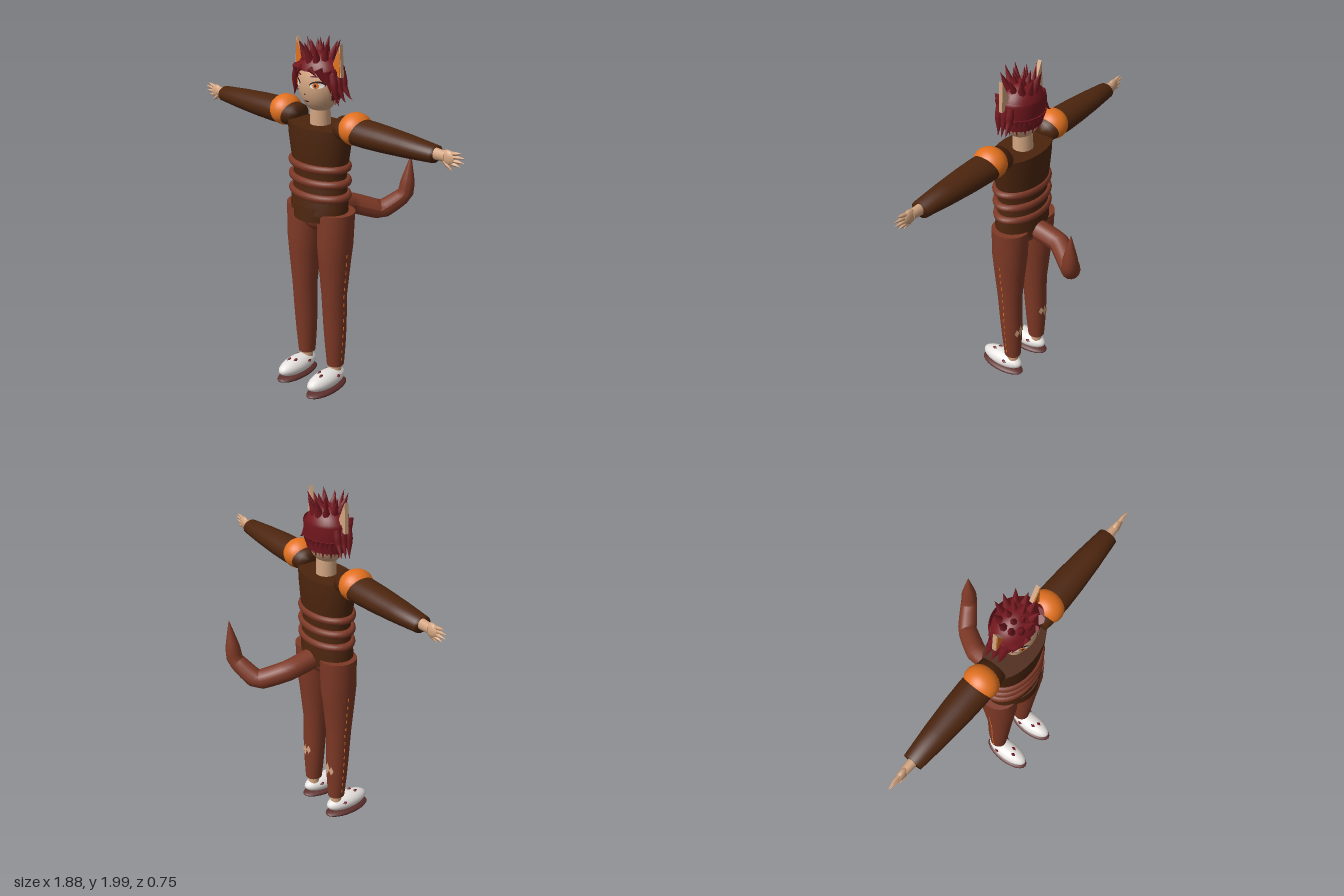
import * as THREE from 'three';

const mat = (name, color) => {
  const m = new THREE.MeshStandardMaterial({ color });
  m.name = name;
  return m;
};

export function createModel() {
  const root = new THREE.Group();
  root.name = 'character';
  const cloth = mat('dark brown cloth', 0x4c250e), trousers = mat('red brown', 0x7e3926);
  const orange = mat('orange', 0xe2711f), skin = mat('skin', 0xd3a581);
  const hair = mat('dark red', 0x74181f), white = mat('white', 0xe9e5e2);
  const soleMat = mat('sole brown', 0x5c2f2c), dark = mat('near black', 0x2a1412);
  hair.side = THREE.DoubleSide;

  const add = (name, geo, material, pos = [0, 0, 0], scale = [1, 1, 1], parent = root) => {
    const m = new THREE.Mesh(geo, material);
    m.name = name;
    m.position.set(...pos);
    m.scale.set(...scale);
    parent.add(m);
    return m;
  };
  const ball = (name, material, pos, radii) =>
    add(name, new THREE.SphereGeometry(1, 24, 16), material, pos, radii);

  // Elliptical loft; sections run from top to bottom as [y, cx, cz, rx, rz]
  const loft = (sections, open = false, start = 0, length = Math.PI * 2) => {
    const n = sections.length - 1;
    const g = new THREE.CylinderGeometry(1, 1, 1, 28, n, open, start, length);
    const p = g.attributes.position;
    for (let i = 0; i < p.count; i++) {
      const [y, cx, cz, rx, rz] = sections[Math.round((0.5 - p.getY(i)) * n)];
      p.setXYZ(i, cx + p.getX(i) * rx, y, cz + p.getZ(i) * rz);
    }
    g.computeVertexNormals();
    return g;
  };

  // Tube whose radius follows a list of values along its length
  const taperTube = (points, radii, segments = 16, sides = 12) => {
    const curve = new THREE.CatmullRomCurve3(points.map(a => new THREE.Vector3(...a)), false, 'catmullrom', 0.15);
    const g = new THREE.TubeGeometry(curve, segments, 1, sides);
    const p = g.attributes.position, v = new THREE.Vector3();
    for (let i = 0; i < p.count; i++) {
      const u = Math.floor(i / (sides + 1)) / segments;
      const f = u * (radii.length - 1), k = Math.min(Math.floor(f), radii.length - 2);
      const r = THREE.MathUtils.lerp(radii[k], radii[k + 1], f - k);
      const c = curve.getPointAt(u);
      v.fromBufferAttribute(p, i).sub(c).multiplyScalar(r).add(c);
      p.setXYZ(i, v.x, v.y, v.z);
    }
    g.computeVertexNormals();
    return g;
  };

  // Pointed lock from a base to a tip
  const spike = (name, material, from, to, r, sides = 7) => {
    const a = new THREE.Vector3(...from), b = new THREE.Vector3(...to);
    const d = b.clone().sub(a);
    const m = add(name, new THREE.ConeGeometry(r, d.length(), sides), material);
    m.position.copy(a).add(b).multiplyScalar(0.5);
    m.quaternion.setFromUnitVectors(new THREE.Vector3(0, 1, 0), d.normalize());
    return m;
  };

  // Torso, hem and waist bands
  add('torso', loft([
    [1.55, 0, 0.14, 0.21, 0.122], [1.48, 0, 0.14, 0.2, 0.124], [1.39, 0, 0.14, 0.185, 0.12],
    [1.3, 0, 0.14, 0.165, 0.113], [1.22, 0, 0.14, 0.167, 0.114], [1.14, 0, 0.145, 0.18, 0.122],
    [1.08, 0, 0.147, 0.182, 0.128]]), cloth);
  add('hem', loft([[1.12, 0, 0.15, 0.15, 0.128], [1.04, 0, 0.15, 0.14, 0.134]]), cloth);
  for (const y of [1.338, 1.257, 1.177]) {
    const band = add('waistBand', new THREE.TorusGeometry(1, 0.12, 10, 36), trousers, [0, y, 0.142], [0.178, 0.118, 0.18]);
    band.rotation.x = Math.PI / 2;
  }
  ball('seat', trousers, [0, 1.04, 0.14], [0.1, 0.09, 0.1]);
  add('neck', new THREE.CylinderGeometry(0.053, 0.056, 0.14, 20), skin, [0, 1.6, 0.135]);

  // Bent, pointed tail
  add('tail', taperTube(
    [[0, 1.065, 0.08], [0, 1.03, -0.11], [0.09, 0.975, -0.255], [0.2, 1.08, -0.33], [0.22, 1.31, -0.347]],
    [0.06, 0.058, 0.056, 0.05, 0.04, 0.001], 24, 14), trousers);

  // Head and face details laid on its surface
  const HY = 1.765, HZ = 0.14, RX = 0.118, RY = 0.15, RZ = 0.105;
  ball('head', skin, [0, HY, HZ], [RX, RY, RZ]);
  const faceDot = (name, material, x, y, w, h, lift, tilt = 0) => {
    const g = new THREE.CircleGeometry(1, 20).scale(w, h, 1).rotateZ(tilt).translate(x, y, 0);
    const p = g.attributes.position;
    for (let i = 0; i < p.count; i++) {
      const q = 1 - (p.getX(i) / RX) ** 2 - ((p.getY(i) - HY) / RY) ** 2;
      p.setZ(i, HZ + RZ * Math.sqrt(Math.max(q, 0)) + lift);
    }
    g.computeVertexNormals();
    add(name, g, material);
  };
  for (const s of [-1, 1]) {
    faceDot('eyeLine', dark, s * 0.069, 1.782, 0.036, 0.017, 0.003, s * 0.1);
    faceDot('eyeWhite', white, s * 0.068, 1.776, 0.032, 0.015, 0.005, s * 0.1);
    faceDot('iris', orange, s * 0.066, 1.777, 0.015, 0.015, 0.007);
    faceDot('pupil', dark, s * 0.066, 1.777, 0.005, 0.008, 0.009);
    faceDot('eyebrow', hair, s * 0.062, 1.822, 0.032, 0.005, 0.004, s * 0.12);
  }
  faceDot('nose', soleMat, 0, 1.725, 0.006, 0.004, 0.004);
  faceDot('mouth', dark, 0, 1.686, 0.016, 0.004, 0.004);

  // Hair cap, back hair and its pointed hem
  add('hairCap', new THREE.SphereGeometry(1, 28, 12, 0, Math.PI * 2, 0, 1.2), hair, [0, 1.79, 0.138], [0.143, 0.145, 0.112]);
  add('backHair', loft([[1.86, 0, 0.14, 0.132, 0.116], [1.845, 0, 0.14, 0.142, 0.12],
    [1.76, 0, 0.14, 0.136, 0.113], [1.7, 0, 0.14, 0.122, 0.102]], true, 1.25, Math.PI * 2 - 2.5), hair);
  for (let i = 0; i < 17; i++) {
    const a = 1.45 + (i / 16) * (Math.PI * 2 - 2.9), x = Math.sin(a), z = Math.cos(a);
    spike('backLock', hair, [0.125 * x, 1.77, 0.14 + 0.103 * z],
      [0.108 * x, i % 2 ? 1.665 : 1.68, 0.14 + 0.09 * z], 0.02, 6);
  }
  // Crown of spikes
  for (let i = 0; i < 11; i++) {
    const a = (i / 11) * Math.PI * 2, x = Math.sin(a), z = Math.cos(a);
    spike('crownSpike', hair, [0.068 * x, 1.885, 0.138 + 0.065 * z],
      [0.108 * x, i % 2 ? 1.975 : 1.992, 0.138 + 0.105 * z], 0.026);
  }
  for (let i = 0; i < 5; i++) {
    const a = (i / 5) * Math.PI * 2;
    spike('topSpike', hair, [0.03 * Math.sin(a), 1.91, 0.14 + 0.03 * Math.cos(a)],
      [0.05 * Math.sin(a), 1.99, 0.14 + 0.05 * Math.cos(a)], 0.022);
  }

  for (const s of [-1, 1]) {
    // Fringe and flicked side locks
    spike('fringe', hair, [s * 0.03, 1.86, 0.236], [s * 0.075, 1.822, 0.232], 0.016);
    spike('fringe', hair, [s * 0.075, 1.86, 0.222], [s * 0.112, 1.775, 0.205], 0.024);
    spike('fringe', hair, [s * 0.105, 1.85, 0.195], [s * 0.125, 1.73, 0.18], 0.026);
    for (let k = 0; k < 3; k++) {
      const z = 0.175 - k * 0.035;
      add('sideLock', taperTube([[s * 0.125, 1.84, z], [s * 0.143, 1.765, z], [s * (0.15 + k * 0.012), 1.715, z - 0.005],
        [s * (0.162 + k * 0.014), 1.68 + k * 0.012, z - 0.01]], [0.02, 0.021, 0.012, 0.001], 10, 8), hair);
    }

    // Ears: tan shell with an orange inside
    const ear = new THREE.Shape([[0.085, 1.83], [0.165, 1.82], [0.156, 1.985]].map(([x, y]) => new THREE.Vector2(s * x, y)));
    add('ear', new THREE.ExtrudeGeometry(ear, { depth: 0.022, bevelEnabled: false }), skin, [0, 0, 0.13]);
    const inner = new THREE.Shape([[0.093, 1.835], [0.159, 1.826], [0.152, 1.965]].map(([x, y]) => new THREE.Vector2(s * x, y)));
    add('earInside', new THREE.ExtrudeGeometry(inner, { depth: 0.004, bevelEnabled: false }), orange, [0, 0, 0.151]);

    // Sleeves and shoulder puffs
    const profile = [[0, 0.16], [0.06, 0.16], [0.069, 0.25], [0.07, 0.33], [0.066, 0.45], [0.057, 0.6], [0.043, 0.77], [0, 0.772]];
    const sleeve = add('sleeve', new THREE.LatheGeometry(profile.map(a => new THREE.Vector2(...a)), 28),
      cloth, [0, 1.563, 0.14], [1, 1, 1.22]);
    sleeve.rotation.z = -s * Math.PI / 2;
    ball('shoulderPuff', orange, [s * 0.257, 1.574, 0.14], [0.084, 0.084, 0.094]);

    // Hands
    const wrist = add('wrist', new THREE.CylinderGeometry(0.026, 0.03, 0.07, 14), skin, [s * 0.795, 1.566, 0.14], [1, 1, 0.85]);
    wrist.rotation.z = -s * Math.PI / 2;
    ball('palm', skin, [s * 0.843, 1.564, 0.14], [0.043, 0.037, 0.019]);
    [[0.92, 1.6], [0.94, 1.58], [0.938, 1.556], [0.915, 1.533]].forEach(([x, y], i) =>
      add('finger', taperTube([[s * 0.86, 1.586 - i * 0.015, 0.14], [s * 0.89, (1.586 - i * 0.015 + y) / 2, 0.14], [s * x, y, 0.14]],
        [0.011, 0.009, 0.001], 6, 8), skin));
    add('thumb', taperTube([[s * 0.82, 1.55, 0.142], [s * 0.85, 1.525, 0.146], [s * 0.875, 1.508, 0.148]], [0.014, 0.011, 0.001], 6, 8), skin);

    // Trouser legs
    const c = s * 0.116;
    add('trouserLeg', loft([[1.088, c, 0.138, 0.1, 0.106], [0.9, c, 0.145, 0.095, 0.103], [0.8, c, 0.149, 0.086, 0.093],
      [0.6, c, 0.153, 0.069, 0.074], [0.4, c, 0.148, 0.065, 0.066], [0.28, c, 0.146, 0.058, 0.06],
      [0.15, c, 0.145, 0.048, 0.05]]), trousers);
    // Side stitching
    for (let y = 0.2; y < 0.86; y += 0.05) {
      const r = y < 0.4 ? 0.048 + (y - 0.15) * 0.068 : y < 0.6 ? 0.065 + (y - 0.4) * 0.02 : 0.069 + (y - 0.6) * 0.085;
      add('stitch', new THREE.BoxGeometry(0.006, 0.02, 0.005), orange, [c + s * r, y, 0.148]);
    }
    // Torn calf patches
    for (let k = -1; k <= 1; k++) {
      const a = k * 0.42, h = k ? 0.03 : 0.042;
      const patch = add('calfPatch', new THREE.CircleGeometry(1, 4), skin,
        [c + 0.066 * Math.sin(a), 0.365 - k * s * 0.01, 0.147 - 0.068 * Math.cos(a)], [0.016, h, 1]);
      patch.rotation.y = Math.PI - a;
    }

    // Ankles and shoes
    add('ankle', new THREE.CylinderGeometry(0.034, 0.034, 0.08, 16), skin, [c, 0.125, 0.145]);
    ball('shoe', white, [s * 0.118, 0.08, 0.222], [0.06, 0.052, 0.14]);
    ball('sole', soleMat, [s * 0.12, 0.024, 0.222], [0.066, 0.024, 0.148]);
    for (const [dx, y, z] of [[0.012, 0.127, 0.275], [-0.02, 0.127, 0.255], [0.05, 0.1, 0.175], [-0.05, 0.1, 0.175]])
      add('shoeStud', new THREE.OctahedronGeometry(1), hair, [s * (0.118 + dx), y, z], [0.011, 0.012, 0.017]);
  }
  return root;
}
